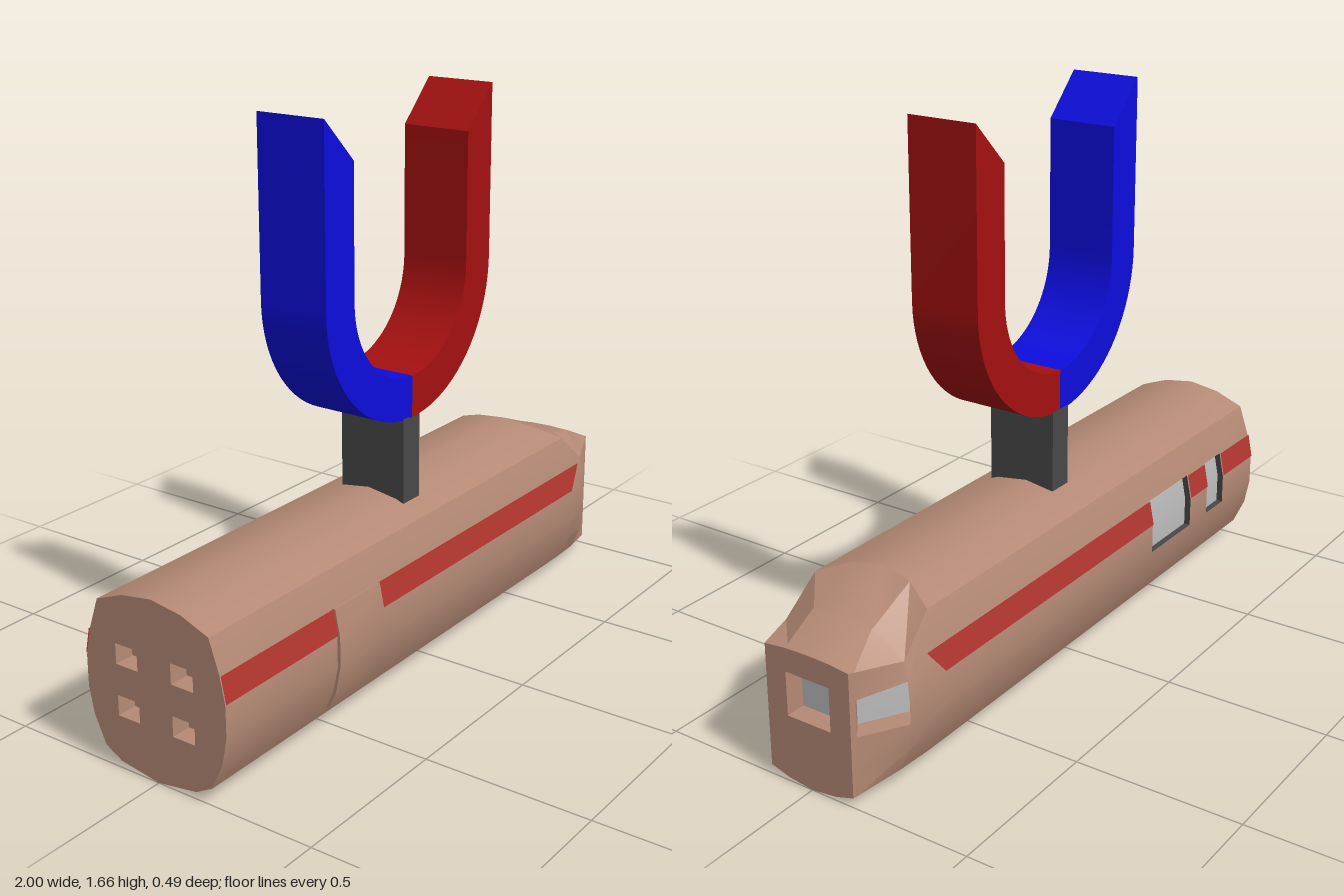
import * as THREE from 'three';
import { toCreasedNormals } from 'three/addons/utils/BufferGeometryUtils.js';

const mat = (name, color, side = THREE.FrontSide) => {
  const m = new THREE.MeshStandardMaterial({ color, side });
  m.name = name;
  return m;
};

// Fan-triangulate a list of polygons (arrays of [x, y, z]) into one geometry
function polygons(polys) {
  const pos = [];
  for (const p of polys)
    for (let i = 1; i < p.length - 1; i++) pos.push(...p[0], ...p[i], ...p[i + 1]);
  const g = new THREE.BufferGeometry();
  g.setAttribute('position', new THREE.Float32BufferAttribute(pos, 3));
  return toCreasedNormals(g, 0.36);
}

export function createModel() {
  const root = new THREE.Group();
  const tan = mat('tan', 0xb58a75);
  const stripeRed = mat('stripeRed', 0xb33630, THREE.DoubleSide);
  const red = mat('magnetRed', 0xa51010);
  const blue = mat('magnetBlue', 0x0d0ddf);
  const grey = mat('darkGrey', 0x484848);
  const glass = mat('glass', 0xbababa);

  const add = (name, geometry, material) => {
    const m = new THREE.Mesh(geometry, material);
    m.name = name;
    root.add(m);
    return m;
  };

  // Half cross-sections as [z, y], from bottom centre to top centre
  const full = [[0, 0], [.13, .02], [.185, .05], [.222, .13], [.238, .21],
    [.238, .3], [.222, .38], [.19, .475], [.1, .51], [0, .525]];
  const cheek = [[0, 0], [.13, .02], [.18, .05], [.21, .12], [.22, .2],
    [.22, .26], [.215, .325], [.2, .378], [.1, .442], [0, .458]];
  const tip = [[0, 0], [.08, .01], [.14, .028], [.14, .11], [.14, .205],
    [.14, .26], [.14, .31], [.14, .393], [.07, .4], [0, .402]];
  const at = (x, half) => half.map(([z, y]) => [x, y, z]);
  const mix = (a, b, t) => a.map((p, i) => p.map((v, k) => v + (b[i][k] - v) * t));

  // The roof starts to slope earlier at its centre
  const noseStart = at(.74, full);
  noseStart[8][0] = .695;
  noseStart[9][0] = .68;
  const noseMid = at(.85, cheek), noseEnd = at(1, tip);
  const sections = [...[-1, -.8, -.69, -.58, -.34].map(x => at(x, full)), noseStart,
    noseMid, mix(noseMid, noseEnd, .03), mix(noseMid, noseEnd, .9), noseEnd];

  const shell = [], holes = [];
  const side = (p, s) => [p[0], p[1], p[2] * s];
  for (const s of [1, -1])
    for (let i = 0; i < sections.length - 1; i++) {
      const a = sections[i], b = sections[i + 1];
      const noseWindow = i === 7;
      const backWindow = s < 0 && (i === 1 || i === 3);
      for (let j = 0; j < a.length - 1; j++) {
        if ((noseWindow || backWindow) && (j === 4 || j === 5)) continue;
        const q = [a[j], b[j], b[j + 1], a[j + 1]].map(p => side(p, s));
        shell.push(s > 0 ? q : q.reverse());
      }
      if (noseWindow || backWindow) {
        const o = [a[4], b[4], b[5], b[6], a[6], a[5]].map(p => side(p, s));
        holes.push({
          name: noseWindow ? 'noseWindow' : 'cabinWindow',
          outline: s > 0 ? o : o.reverse(),
          offset: noseWindow ? [-.05, 0, -.04 * s] : [0, 0, .02],
          wall: noseWindow ? tan : grey, floor: glass,
        });
      }
    }
  add('body', polygons(shell), tan);

  // Rectangular opening on an end face, counter-clockwise from outside
  const endHole = (x, z, y, w, h) => {
    const d = Math.sign(x);
    return [[-1, -1], [1, -1], [1, 1], [-1, 1]].map(([u, v]) => [x, y + v * h / 2, z - d * u * w / 2]);
  };
  const windscreen = endHole(1, 0, .265, .145, .13);
  holes.push({ name: 'windscreen', outline: windscreen, offset: [-.06, 0, 0], wall: tan, floor: glass });
  const sockets = [];
  for (const z of [-.095, .095])
    for (const y of [.185, .335]) {
      const outline = endHole(-1, z, y, .075, .06);
      sockets.push(outline);
      holes.push({ name: 'tailSocket', outline, offset: [.06, 0, 0], wall: tan, floor: tan });
    }

  // Recessed walls and floors of every opening
  for (const { name, outline, offset, wall, floor } of holes) {
    const inner = outline.map(p => p.map((v, k) => v + offset[k]));
    const n = outline.length;
    const walls = outline.map((p, i) => [p, outline[(i + 1) % n], inner[(i + 1) % n], inner[i]]);
    add(name + 'Recess', polygons(walls), wall);
    add(name + 'Pane', polygons([inner]), floor);
  }

  // Flat end faces with their openings
  const endFace = (name, half, x, openings) => {
    const d = Math.sign(x);
    const left = half.slice(1, -1).reverse().map(([z, y]) => [-z, y]);
    const shape = new THREE.Shape([...half, ...left].map(([z, y]) => new THREE.Vector2(z, y)));
    shape.holes = openings.map(o => new THREE.Path(o.map(p => new THREE.Vector2(-d * p[2], p[1]))));
    const g = new THREE.ShapeGeometry(shape);
    g.rotateY(d * Math.PI / 2);
    g.translate(x, 0, 0);
    add(name, g, tan);
  };
  endFace('noseFace', tip, 1, [windscreen]);
  endFace('tailFace', full, -1, sockets);

  // Painted stripes, broken by the door and the windows
  const stripe = (s, x0, low, high = low) => add('stripe', polygons([[
    [x0, .305, .241 * s], [low, .305, .241 * s], [high, .38, .226 * s], [x0, .38, .226 * s]]]), stripeRed);
  stripe(1, -1, -.54);
  stripe(1, -.335, .73, .79);
  stripe(-1, -1, -.8);
  stripe(-1, -.69, -.58);
  stripe(-1, -.34, .73, .79);

  // Curved door plate
  const rows = [[.198, .075], [.222, .13], [.238, .21], [.238, .3], [.222, .38]];
  const plate = [...rows.map(([z, y]) => [z + .009, y]), ...[...rows].reverse().map(([z, y]) => [z - .004, y])];
  const door = new THREE.ExtrudeGeometry(new THREE.Shape(plate.map(([z, y]) => new THREE.Vector2(-z, y))),
    { depth: .205, bevelEnabled: false });
  door.rotateY(Math.PI / 2);
  door.translate(-.54, 0, 0);
  add('door', toCreasedNormals(door, 0.36), tan);

  // Post
  const post = add('post', new THREE.BoxGeometry(.08, .28, .22), grey);
  post.position.set(-.03, .62, .015);

  // Two-coloured U magnet with slanted tips, each half a quarter bend and a leg
  const R = .4, r = .275;
  for (const [name, s, material] of [['redMagnetHalf', 1, red], ['blueMagnetHalf', -1, blue]]) {
    const pts = [], N = 20;
    for (let i = 0; i <= N; i++) {
      const a = i / N * Math.PI / 2;
      pts.push([R * Math.sin(a), -R * Math.cos(a)]);
    }
    pts.push([R, .51], [r, .385]);
    for (let i = N; i >= 0; i--) {
      const a = i / N * Math.PI / 2;
      pts.push([r * Math.sin(a), -r * Math.cos(a)]);
    }
    const shape = new THREE.Shape(pts.map(([x, y]) => new THREE.Vector2(s * x, y)));
    const g = new THREE.ExtrudeGeometry(shape, { depth: .22, bevelEnabled: false });
    add(name, toCreasedNormals(g, 0.36), material).position.set(-.027, 1.155, -.095);
  }
  return root;
}
